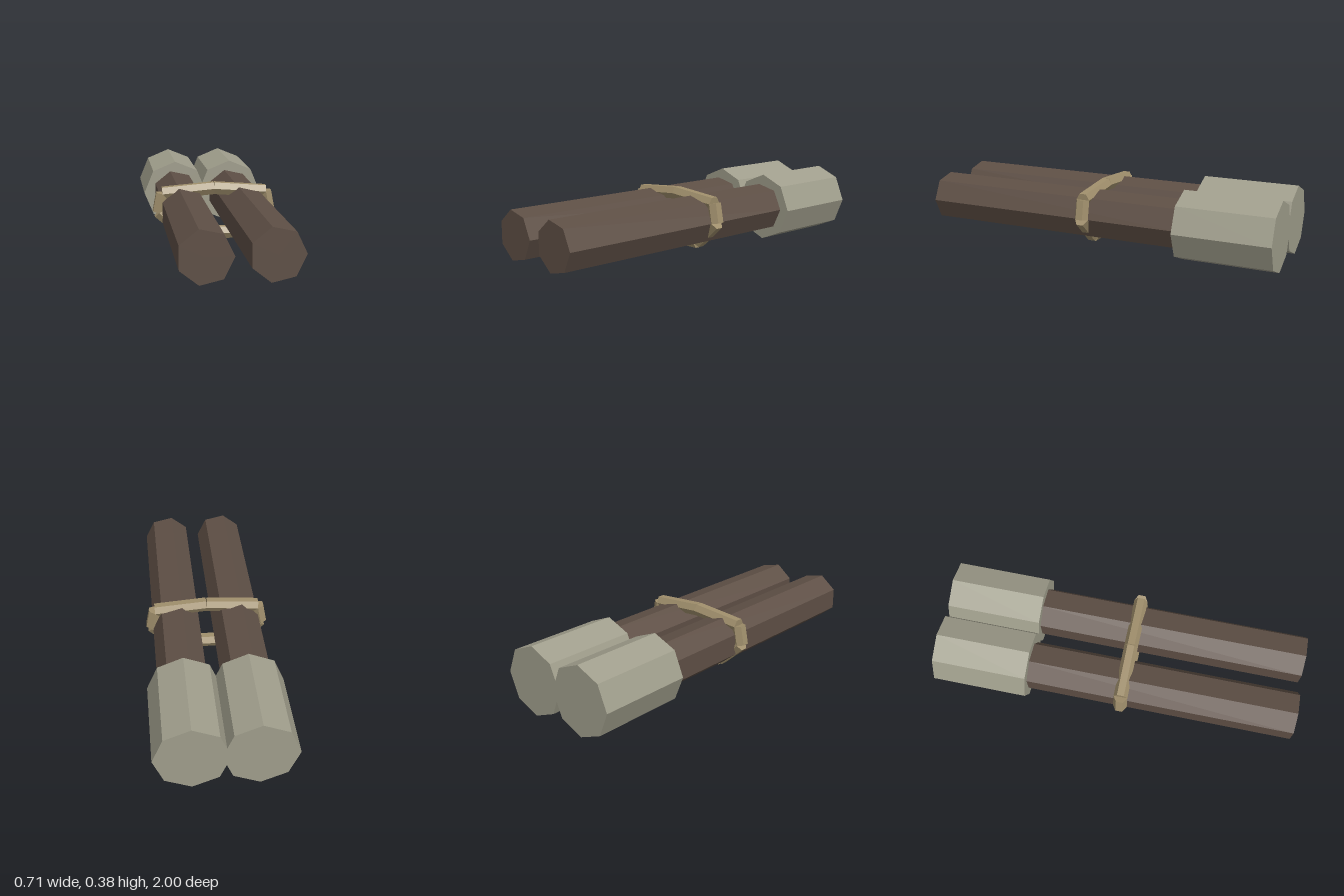
import * as THREE from 'three';

const material = (color) => new THREE.MeshStandardMaterial({ color, flatShading: true });

// Faceted rod lying along z, with one corner pointing to +x
function rod(name, sides, radius, zBack, zFront, x, mat) {
  const geo = new THREE.CylinderGeometry(radius, radius, zFront - zBack, sides, 1, false, Math.PI / 2);
  geo.rotateX(Math.PI / 2);
  const mesh = new THREE.Mesh(geo, mat);
  mesh.name = name;
  mesh.position.set(x, 0.192, (zBack + zFront) / 2);
  return mesh;
}

export function createModel() {
  const group = new THREE.Group();
  group.name = 'boundSticks';
  const wood = material(0x5e4f45);
  const tip = material(0xa09e8c);
  const rope = material(0xa08f6c);

  // Two sticks with thick octagonal ends
  for (const [side, s] of [['left', 1], ['right', -1]]) {
    group.add(rod(side + 'Stick', 7, 0.135, -0.5, 1, s * 0.167, wood));
    group.add(rod(side + 'Head', 8, 0.19, -1, -0.48, s * 0.167, tip));
  }

  // Binding: a closed loop of straight hexagonal pieces
  const half = [[0.288, 0.297], [0.308, 0.192], [0.167, 0.067]];
  const loop = [[0, 0.32], ...half, ...half.map(([x, y]) => [-x, y]).reverse()]
    .map(([x, y]) => new THREE.Vector3(x, y, 0.048));
  const binding = new THREE.Group();
  binding.name = 'binding';
  loop.forEach((a, i) => {
    const b = loop[(i + 1) % loop.length];
    const piece = new THREE.Mesh(new THREE.CylinderGeometry(0.038, 0.038, a.distanceTo(b), 6), rope);
    piece.name = 'bindingPiece' + (i + 1);
    piece.position.copy(a).lerp(b, 0.5);
    piece.rotation.z = Math.atan2(b.y - a.y, b.x - a.x) - Math.PI / 2;
    binding.add(piece);
  });
  group.add(binding);
  return group;
}
